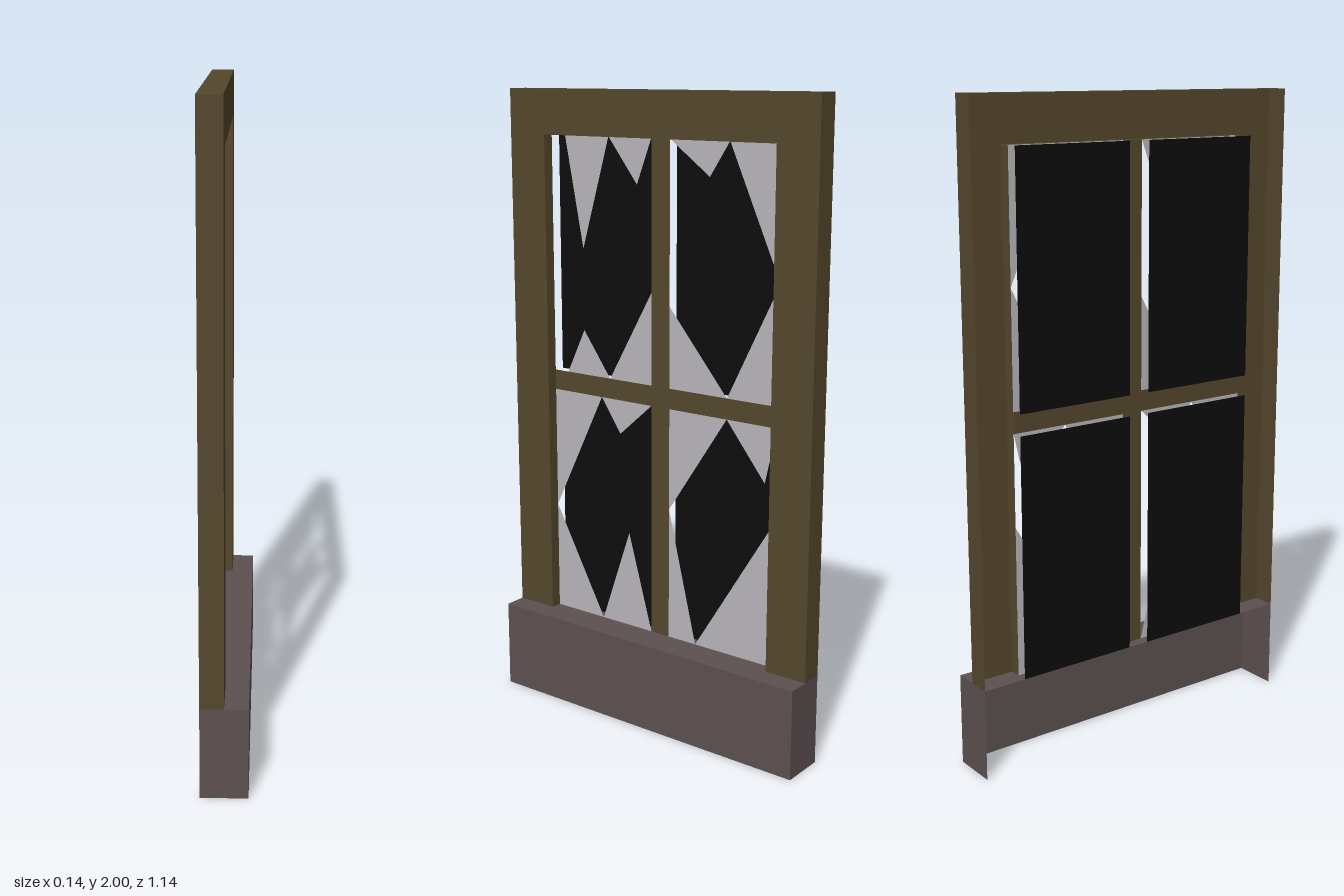
import * as THREE from 'three';

const mat = (color) => new THREE.MeshStandardMaterial({ color, side: THREE.DoubleSide, flatShading: true, roughness: 0.9 });

const HALF = 0.57, TOP = 2, SILL = 0.287;      // outer size
const IN = 0.43, HEAD = 1.86;                  // opening
const BACK = -0.071, GLASS = -0.036, FRONT = 0.071;
const BAR = 0.035, MID0 = 1.04, MID1 = 1.105;  // glazing bars

export function createModel() {
  const model = new THREE.Group();
  const wood = mat(0x54472c), stone = mat(0x5c5150), glass = mat(0xb8b6bc), dark = mat(0x0d0d0d);

  const add = (parent, name, geometry, material) => {
    const mesh = new THREE.Mesh(geometry, material);
    mesh.name = name;
    parent.add(mesh);
    return mesh;
  };
  const group = (name) => {
    const g = new THREE.Group();
    g.name = name;
    model.add(g);
    return g;
  };
  // Flat polygon facing +x, from [z, y] points
  const facing = (points, x) => new THREE.ShapeGeometry(
    new THREE.Shape(points.map(([z, y]) => new THREE.Vector2(-z, y)))
  ).rotateY(Math.PI / 2).translate(x, 0, 0);
  const rect = (z0, z1, y0, y1, x) => facing([[z0, y0], [z1, y0], [z1, y1], [z0, y1]], x);
  // Flat side wall across x at a given z, and flat horizontal sheet at a given y
  const wall = (x0, x1, y0, y1, z) => new THREE.PlaneGeometry(x1 - x0, y1 - y0)
    .rotateY(z < 0 ? Math.PI : 0).translate((x0 + x1) / 2, (y0 + y1) / 2, z);
  const sheet = (x0, x1, halfZ, y) => new THREE.PlaneGeometry(x1 - x0, halfZ * 2)
    .rotateX(-Math.PI / 2).translate((x0 + x1) / 2, y, 0);

  // Window frame: front face, outer sides and shallow reveal, open at the back
  const frame = group('frame');
  add(frame, 'frameFront', facing([
    [HALF, SILL], [IN, SILL], [IN, HEAD], [-IN, HEAD],
    [-IN, SILL], [-HALF, SILL], [-HALF, TOP], [HALF, TOP],
  ], 0), wood);
  add(frame, 'frameTop', sheet(BACK, 0, HALF, TOP), wood);
  add(frame, 'revealTop', sheet(GLASS, 0, IN, HEAD), wood);
  for (const s of [1, -1]) {
    add(frame, 'frameSide', wall(BACK, 0, SILL, TOP, s * HALF), wood);
    add(frame, 'revealSide', wall(GLASS, 0, SILL, HEAD, s * IN), wood);
  }

  // Glazing bars
  const bars = group('glazingBars');
  add(bars, 'verticalBar', rect(BAR, -BAR, SILL, HEAD, GLASS), wood);
  for (const s of [1, -1]) {
    const edges = s > 0 ? [IN, BAR] : [-BAR, -IN];
    add(bars, 'horizontalBar', rect(...edges, MID0, MID1, GLASS), wood);
  }

  // Sill: front, top and ends, open underneath and behind
  const sill = group('sill');
  add(sill, 'sillFront', rect(HALF, -HALF, 0, SILL, FRONT), stone);
  add(sill, 'sillTop', sheet(BACK, FRONT, HALF, SILL), stone);
  for (const s of [1, -1]) add(sill, 'sillEnd', wall(BACK, FRONT, 0, SILL, s * HALF), stone);

  // Dark backing behind each pane
  const backing = group('backing');
  for (const [z0, z1] of [[IN, BAR], [-BAR, -IN]]) {
    for (const [y0, y1] of [[SILL, MID0], [MID1, HEAD]]) {
      add(backing, 'darkPanel', rect(z0, z1, y0, y1, BACK), dark);
    }
  }

  // Broken glass: triangular shards left in each pane, as [z, y] corners
  const panes = {
    upperLeftShard: [
      [[0.375, HEAD], [0.305, 1.51], [0.2, HEAD]],
      [[0.2, HEAD], [0.09, 1.72], [BAR, HEAD]],
      [[0.375, MID1], [0.305, 1.25], [0.2, MID1]],
      [[0.2, MID1], [BAR, 1.395], [BAR, MID1]],
    ],
    upperRightShard: [
      [[-BAR, HEAD], [-0.18, 1.755], [-0.25, HEAD]],
      [[-0.25, HEAD], [-IN, 1.465], [-IN, HEAD]],
      [[-IN, 1.465], [-0.25, MID1], [-IN, MID1]],
      [[-BAR, 1.36], [-0.25, MID1], [-BAR, MID1]],
    ],
    lowerLeftShard: [
      [[IN, MID0], [0.235, MID0], [IN, 0.645]],
      [[IN, 0.645], [0.235, SILL], [IN, SILL]],
      [[0.235, MID0], [0.16, 0.93], [BAR, MID0]],
      [[0.235, SILL], [0.125, 0.605], [BAR, SILL]],
    ],
    lowerRightShard: [
      [[-BAR, MID0], [-0.25, MID0], [-BAR, 0.715]],
      [[-BAR, 0.715], [-0.14, SILL], [-BAR, SILL]],
      [[-0.25, MID0], [-0.39, 0.865], [-IN, MID0]],
      [[-0.14, SILL], [-IN, 0.755], [-IN, SILL]],
    ],
  };
  const shards = group('brokenGlass');
  for (const [name, list] of Object.entries(panes)) {
    for (const corners of list) add(shards, name, facing(corners, GLASS), glass);
  }

  return model;
}
